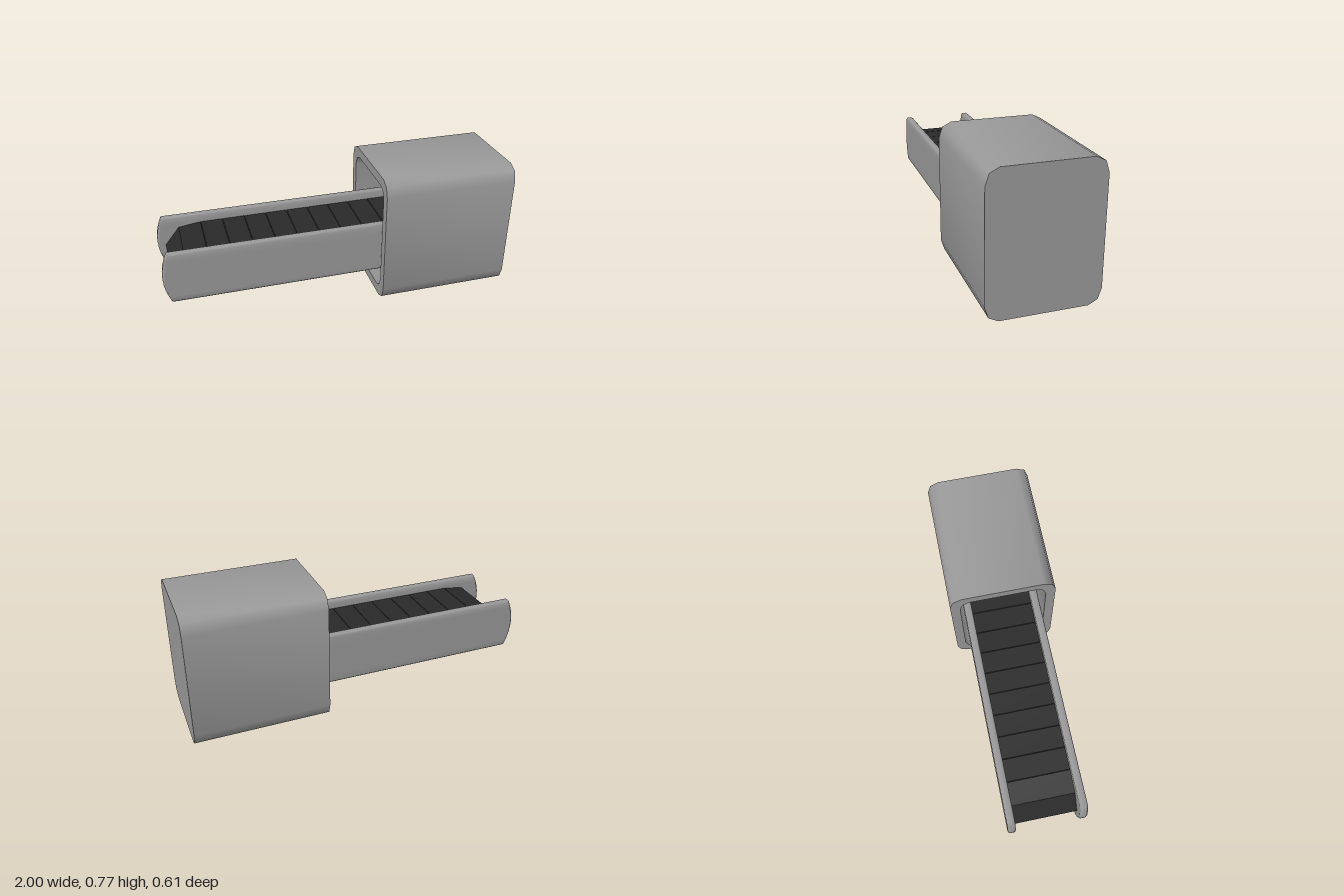
import * as THREE from 'three';
import { mergeVertices, toCreasedNormals } from 'three/addons/utils/BufferGeometryUtils.js';

const grey = new THREE.MeshStandardMaterial({ color: 0x999999 });
const dark = new THREE.MeshStandardMaterial({ color: 0x292929 });
const BELT_W = 0.36, BELT_MID = 0.31, PITCH = 0.128, SLATS = 13;
const BELT_START = -0.87, BELT_END = BELT_START + SLATS * PITCH;

function addMesh(parent, name, geometry, material) {
  const mesh = new THREE.Mesh(geometry, material);
  mesh.name = name;
  parent.add(mesh);
  return mesh;
}

// Housing cross-section at x: rectangle with two-step cut corners, inset from the outside
function housingRing(x, inset) {
  const w = 0.303 - inset, h = 0.385 - inset, k = 1 - inset * 3;
  const corner = [[w, h - 0.085 * k], [w - 0.02 * k, h - 0.025 * k], [w - 0.07 * k, h]];
  const back = [...corner].reverse();
  const outline = [
    ...corner,
    ...back.map(([u, v]) => [-u, v]),
    ...corner.map(([u, v]) => [-u, -v]),
    ...back.map(([u, v]) => [u, -v]),
  ];
  return outline.map(([u, v]) => [x, v + 0.385, -u]);
}

// Skin a list of rings and close both ends
function loft(rings) {
  const positions = [];
  const n = rings[0].length;
  const triangle = (...corners) => corners.forEach((p) => positions.push(...p));
  for (let r = 0; r < rings.length - 1; r++) {
    const a = rings[r], b = rings[r + 1];
    for (let i = 0; i < n; i++) {
      const j = (i + 1) % n;
      triangle(a[i], a[j], b[j]);
      triangle(a[i], b[j], b[i]);
    }
  }
  const first = rings[0], last = rings[rings.length - 1];
  for (let i = 1; i < n - 1; i++) {
    triangle(first[0], first[i + 1], first[i]);
    triangle(last[0], last[i], last[i + 1]);
  }
  const geometry = new THREE.BufferGeometry();
  geometry.setAttribute('position', new THREE.Float32BufferAttribute(positions, 3));
  return toCreasedNormals(geometry, 0.9);
}

// Bar with bowed ends; large faces dominate the normals so only the edges look soft
function createRailGeometry() {
  const x0 = -0.963, x1 = BELT_END + 0.093;
  const rail = new THREE.Shape();
  rail.moveTo(x1, 0.178);
  rail.quadraticCurveTo(x1 + 0.074, 0.33, x1, 0.482);
  rail.lineTo(x0, 0.482);
  rail.quadraticCurveTo(x0 - 0.074, 0.33, x0, 0.178);
  const extruded = new THREE.ExtrudeGeometry(rail, {
    depth: 0.029, bevelThickness: 0.008, bevelSize: 0.008, bevelOffset: -0.008,
    bevelSegments: 1, curveSegments: 8,
  });
  extruded.deleteAttribute('uv');
  extruded.deleteAttribute('normal');
  const geometry = mergeVertices(extruded);
  geometry.computeVertexNormals();
  return geometry.translate(0, 0, -0.0145);
}

// Belt loop with drooping, pointed ends and a fine groove between the top slats
function createBeltGeometry() {
  const half = 0.122, endHalf = 0.105, tip = 0.085;
  const flat0 = BELT_START + PITCH, flat1 = BELT_END - PITCH;
  const belt = new THREE.Shape();
  belt.moveTo(BELT_END, BELT_MID + endHalf);
  belt.lineTo(BELT_END + tip, BELT_MID);
  belt.lineTo(BELT_END, BELT_MID - endHalf);
  belt.lineTo(flat1, BELT_MID - half);
  belt.lineTo(flat0, BELT_MID - half);
  belt.lineTo(BELT_START, BELT_MID - endHalf);
  belt.lineTo(BELT_START - tip, BELT_MID);
  belt.lineTo(BELT_START, BELT_MID + endHalf);
  for (let i = 1; i < SLATS; i++) {
    const x = BELT_START + i * PITCH, y = BELT_MID + half;
    belt.lineTo(x - 0.002, y);
    belt.lineTo(x, y - 0.004);
    belt.lineTo(x + 0.002, y);
  }
  const geometry = new THREE.ExtrudeGeometry(belt, { depth: BELT_W, bevelEnabled: false });
  return geometry.translate(0, 0, -BELT_W / 2);
}

export function createModel() {
  const model = new THREE.Group();
  model.name = 'conveyor';

  // Housing: hollow box, open towards the belt and closed at the far end
  addMesh(model, 'housing', loft([
    housingRing(0.945, 0.055), housingRing(0.23, 0.055),
    housingRing(0.23, 0), housingRing(1, 0),
  ]), grey);

  // Side rails
  const railGeometry = createRailGeometry();
  for (const side of [1, -1]) {
    addMesh(model, side > 0 ? 'frontRail' : 'backRail', railGeometry, grey).position.z = side * 0.2;
  }

  // Belt between the rails
  addMesh(model, 'belt', createBeltGeometry(), dark);
  return model;
}
